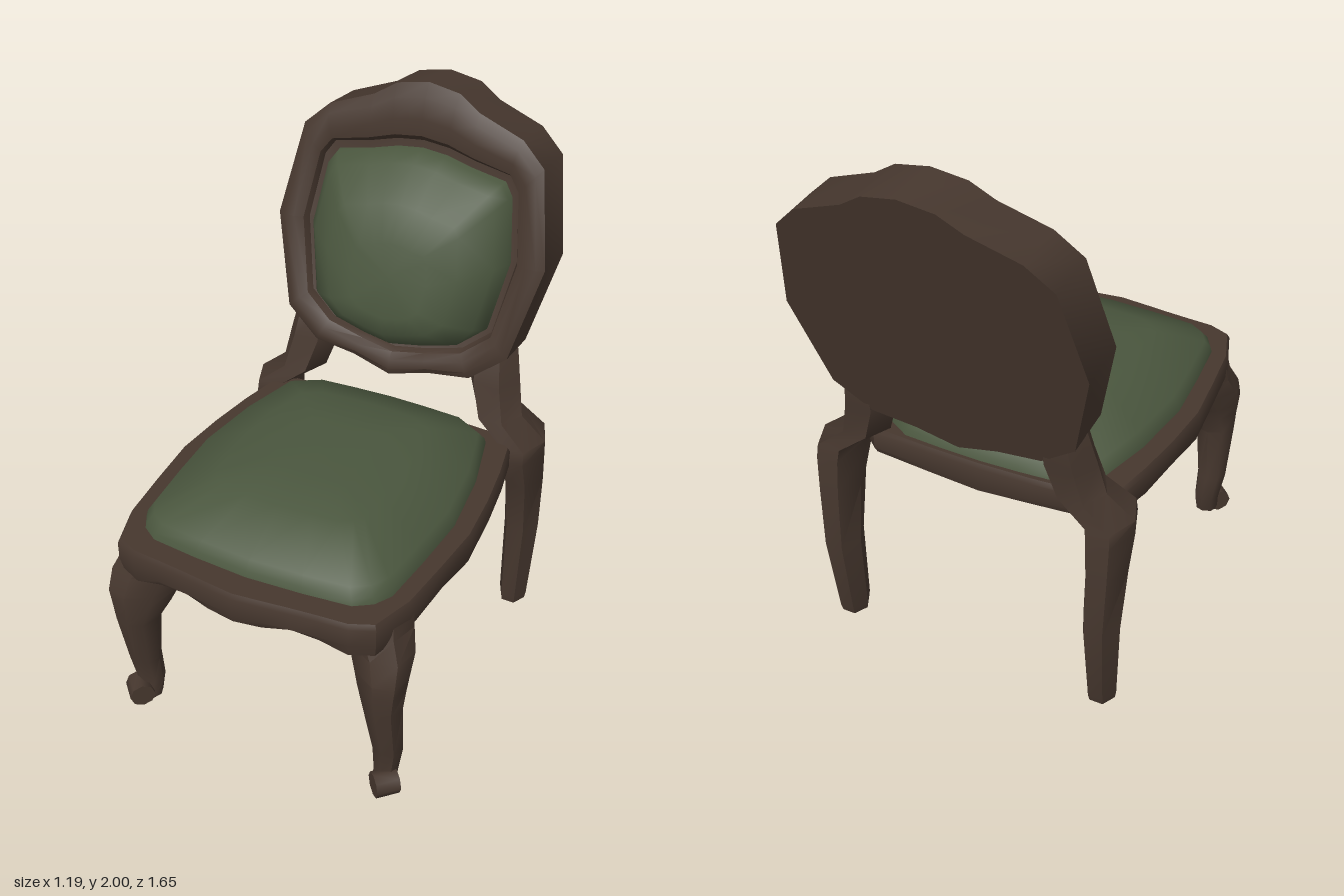
import * as THREE from 'three';
import { toCreasedNormals, mergeVertices } from 'three/addons/utils/BufferGeometryUtils.js';

const wood = new THREE.MeshStandardMaterial({ color: 0x46372e });
wood.name = 'darkWood';
const fabric = new THREE.MeshStandardMaterial({ color: 0x4a563e });
fabric.name = 'greenFabric';

// Skin a stack of closed rings; optional end caps fan from each ring's centre.
function skin(rings, capStart = true, capEnd = true, crease = 0.65) {
  const n = rings[0].length;
  const pos = [];
  const idx = [];
  rings.forEach(r => r.forEach(p => pos.push(...p)));
  for (let k = 0; k < rings.length - 1; k++) {
    for (let i = 0; i < n; i++) {
      const j = (i + 1) % n;
      const a = k * n + i, b = k * n + j, c = a + n, d = b + n;
      idx.push(a, b, d, a, d, c);
    }
  }
  const cap = (k, flip) => {
    const c = pos.length / 3;
    const mid = [0, 1, 2].map(m => rings[k].reduce((s, p) => s + p[m], 0) / n);
    pos.push(...mid);
    for (let i = 0; i < n; i++) {
      const a = k * n + i, b = k * n + (i + 1) % n;
      idx.push(c, flip ? b : a, flip ? a : b);
    }
  };
  if (capStart) cap(0, true);
  if (capEnd) cap(rings.length - 1, false);
  const g = new THREE.BufferGeometry();
  g.setAttribute('position', new THREE.Float32BufferAttribute(pos, 3));
  g.setIndex(idx);
  return toCreasedNormals(mergeVertices(g), crease);
}

// Half outline running up the +x side, completed by its mirror image.
function mirrored(half) {
  const other = half.slice(1, -1).reverse().map(([x, ...rest]) => [-x, ...rest]);
  return [...half, ...other];
}

// Upright loft: sections are [y, cx, cz, r along dir, r across dir].
function limb(sections, side, [dx, dz], sides) {
  return skin(sections.map(([y, cx, cz, ra, rb]) =>
    Array.from({ length: sides }, (_, i) => {
      const t = i / sides * Math.PI * 2;
      const u = Math.cos(t) * ra, v = Math.sin(t) * rb;
      return [cx * side + dx * u + dz * v, y, cz + dz * u - dx * v];
    })), true, true, 0.8);
}

export function createModel() {
  const root = new THREE.Group();
  root.name = 'chair';
  const add = (name, geometry, material) => {
    const m = new THREE.Mesh(geometry, material);
    m.name = name;
    root.add(m);
  };

  // Seat rail: x, z and scalloped lower edge, from front centre to back centre
  const rail = mirrored([
    [0, 0.826, 0.685], [0.1, 0.815, 0.69], [0.2, 0.803, 0.712], [0.3, 0.793, 0.7], [0.4, 0.785, 0.672],
    [0.48, 0.75, 0.672], [0.53, 0.6, 0.685], [0.552, 0.4, 0.705], [0.57, 0.2, 0.685],
    [0.555, 0, 0.702], [0.53, -0.18, 0.69], [0.5, -0.33, 0.7], [0.42, -0.4, 0.7],
    [0.2, -0.415, 0.695], [0, -0.42, 0.685],
  ]);
  const mz = 0.17;
  const railRing = (s, y) => rail.map(([x, z, low]) =>
    [x * s, y ?? low, mz + (z - mz) * s]);
  add('seatRail', skin([
    railRing(0.92, 0.755), railRing(0.93), railRing(0.985), railRing(1, 0.72),
    railRing(1, 0.785), railRing(0.985, 0.803), railRing(0.85, 0.803),
  ]), wood);

  // Domed seat cushion
  const pad = mirrored([
    [0, 0.73], [0.2, 0.718], [0.37, 0.7], [0.43, 0.66], [0.465, 0.6], [0.485, 0.4], [0.5, 0.18],
    [0.47, -0.08], [0.41, -0.32], [0.3, -0.385], [0.15, -0.395], [0, -0.4],
  ]);
  add('seatCushion', skin([
    [1, 0.795], [0.985, 0.825], [0.945, 0.855], [0.6, 0.941], [0.3, 0.957],
  ].map(([s, y]) => pad.map(([x, z]) => [x * s, y, mz + (z - mz) * s])), false, true, 1), fabric);

  // Backrest outlines (x, y), bottom centre to top centre
  const outer = mirrored([
    [0, 0.97], [0.15, 1.01], [0.31, 1.03], [0.44, 1.13], [0.523, 1.46],
    [0.46, 1.79], [0.37, 1.87], [0.2, 1.93], [0.12, 1.98], [0, 2],
  ]);
  const inner = mirrored([
    [0, 1.065], [0.12, 1.085], [0.26, 1.12], [0.36, 1.2], [0.41, 1.46],
    [0.375, 1.69], [0.34, 1.74], [0.2, 1.765], [0.1, 1.79], [0, 1.8],
  ]);
  // Place a point on the leaning plane of the backrest, d forward of it
  const lean = (x, y, d) => [x, y + d * 0.1, -0.39 - 0.283 * (y - 1.13) + d];

  // Frame: solid back, side wall, rounded moulding and inner lip
  add('backFrame', skin([
    [0, -0.19], [0, 0], [0.25, 0.016], [0.6, 0.018], [0.9, 0.003], [1, -0.025], [1.25, -0.03],
  ].map(([t, d]) => outer.map(([x, y], i) =>
    lean(x + (inner[i][0] - x) * t, y + (inner[i][1] - y) * t, d)))), wood);

  // Back cushion, fullest below its middle
  const my = 1.32;
  add('backCushion', skin([
    [0.95, -0.04], [0.935, -0.005], [0.86, 0.04], [0.62, 0.12], [0.36, 0.142],
  ].map(([s, d]) => inner.map(([x, y]) => lean(x * s, my + (y - my) * s, d))), false, true, 1), fabric);

  // Legs, mirrored left and right
  for (const side of [1, -1]) {
    const name = side > 0 ? 'left' : 'right';
    const diagonal = [side * Math.SQRT1_2, Math.SQRT1_2];

    // Curved front leg, turned to the corner
    add(name + 'FrontLeg', limb([
      [0.02, 0.475, 0.66, 0.045, 0.04], [0.09, 0.475, 0.645, 0.05, 0.045],
      [0.2, 0.485, 0.655, 0.058, 0.055], [0.42, 0.475, 0.683, 0.08, 0.07],
      [0.5, 0.458, 0.662, 0.115, 0.083], [0.55, 0.45, 0.65, 0.135, 0.09],
      [0.63, 0.425, 0.6, 0.165, 0.11], [0.7, 0.395, 0.57, 0.165, 0.125],
      [0.755, 0.39, 0.56, 0.16, 0.125],
    ], side, diagonal, 8), wood);

    // Scrolled toe
    const toe = new THREE.CylinderGeometry(0.046, 0.046, 0.085, 8);
    toe.rotateZ(Math.PI / 2).rotateY(side * Math.PI / 4);
    toe.translate(side * 0.495, 0.056, 0.695);
    add(name + 'FrontToe', toCreasedNormals(toe, 0.9), wood);

    // Back leg running up into the stile that carries the backrest
    add(name + 'BackLeg', limb([
      [0, 0.51, -0.465, 0.05, 0.058], [0.03, 0.51, -0.467, 0.055, 0.066],
      [0.36, 0.512, -0.495, 0.068, 0.085], [0.6, 0.515, -0.47, 0.075, 0.107],
      [0.74, 0.513, -0.44, 0.083, 0.136], [0.79, 0.508, -0.44, 0.086, 0.128],
      [0.87, 0.405, -0.447, 0.09, 0.104], [1, 0.37, -0.47, 0.1, 0.096],
      [1.12, 0.36, -0.495, 0.085, 0.088], [1.17, 0.36, -0.505, 0.06, 0.06],
    ], side, [1, 0], 6), wood);
  }
  return root;
}
